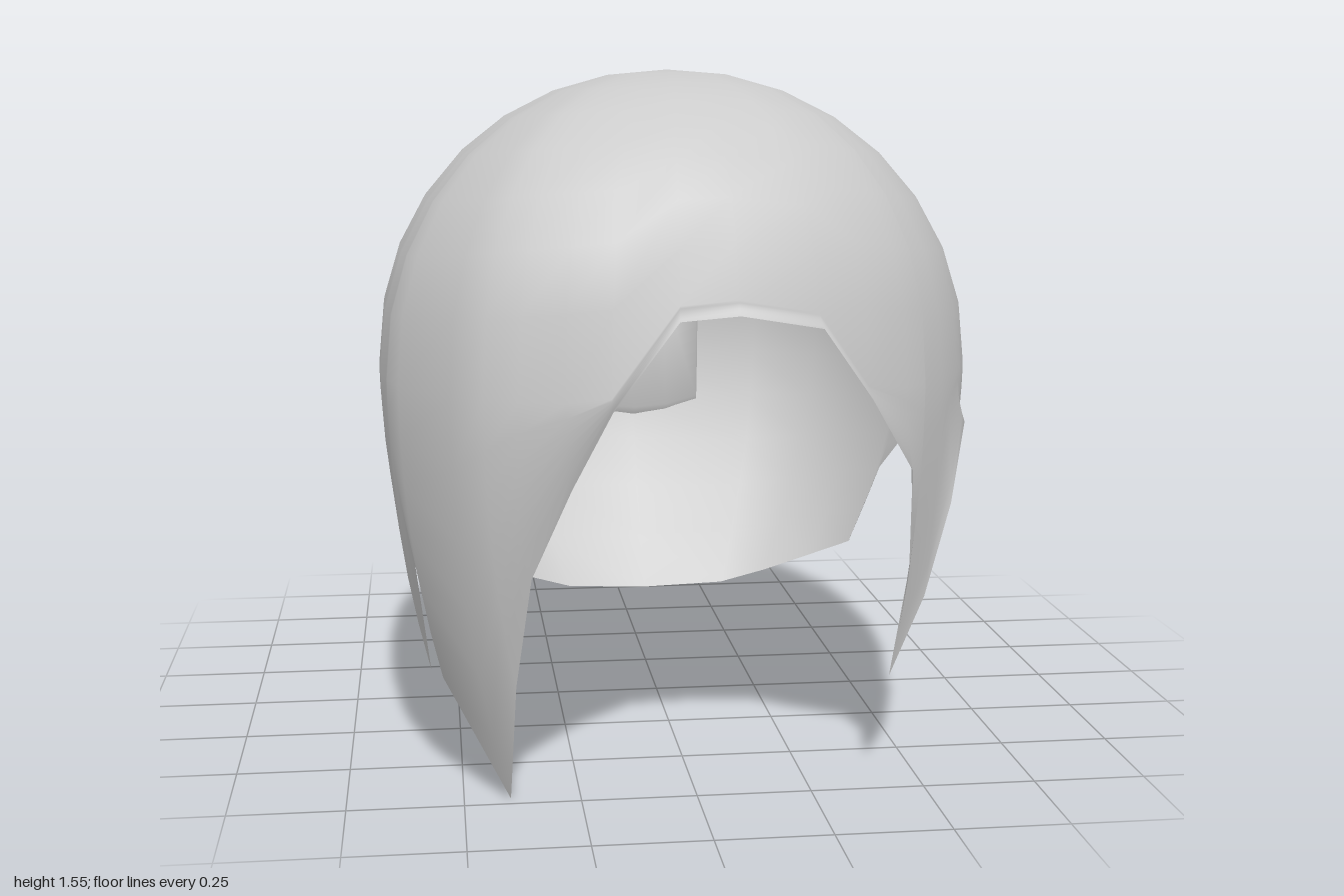
import * as THREE from 'three';

const CZ = 0.2, BELT = 0.9, TOP = 1.55;

// Lower edge of the hair, from the brow round to the nape: [x, y, z]
const leftFront = [
  [0.05, 1.07, 0.99], [0.22, 1.04, 0.97], [0.33, 0.89, 0.93], [0.43, 0.73, 0.87], [0.45, 0.5, 0.78],
  [0.42, 0.25, 0.74], [0.5, 0.42, 0.72], [0.56, 0.62, 0.7], [0.6, 0.79, 0.65], [0.59, 0.6, 0.58],
  [0.545, 0.41, 0.55], [0.59, 0.6, 0.52], [0.62, 0.73, 0.49], [0.61, 0.62, 0.4],
];
const rightFront = [
  [0.07, 1.06, 0.99], [0.2, 0.88, 0.97], [0.28, 0.72, 0.94], [0.36, 0.53, 0.9], [0.39, 0.28, 0.82],
  [0.4, 0, 0.72], [0.54, 0.25, 0.64], [0.6, 0.52, 0.585], [0.565, 0.24, 0.55], [0.6, 0.45, 0.47],
  [0.62, 0.66, 0.42],
];
const sideBack = [
  [0.59, 0.5, 0.26], [0.63, 0.64, 0.19], [0.63, 0.64, 0], [0.58, 0.55, -0.05], [0.5, 0.36, -0.04],
  [0.42, 0.3, -0.15], [0.31, 0.25, -0.2], [0.2, 0.21, -0.24],
];

function makeMesh(name, points, index, flat = false) {
  let geo = new THREE.BufferGeometry();
  geo.setAttribute('position', new THREE.Float32BufferAttribute(points.flat(), 3));
  geo.setIndex(index);
  if (flat) geo = geo.toNonIndexed();
  geo.computeVertexNormals();
  const mesh = new THREE.Mesh(geo, new THREE.MeshStandardMaterial({ color: 0xcccccc, side: THREE.DoubleSide }));
  mesh.name = name;
  return mesh;
}

// Distance from the axis to the widest outline in a given direction
function outline(sx, cz) {
  const n = cz < 0 ? 2.5 : sx < 0 ? 3.4 : 2.25;
  return (Math.abs(sx / 0.67) ** n + Math.abs(cz / 0.79) ** n) ** (-1 / n);
}

// Shell: one column per edge point, running up over the dome to the crown
function hairShell() {
  const mirror = ([x, y, z]) => [-x, y, z];
  const rim = [
    ...leftFront, ...sideBack, [0, 0.2, -0.25],
    ...[...rightFront, ...sideBack].reverse().map(mirror),
  ];
  const lower = 6, upper = 8, rows = lower + upper;
  const points = [], index = [];
  for (const [x, y, z] of rim) {
    const d = Math.hypot(x, z - CZ), sx = x / d, cz = (z - CZ) / d;
    const r = outline(sx, cz);
    const n = 2.05 + 0.6 * Math.max(0, cz) ** 4; // fuller above the brow
    const yb = Math.max(BELT, y + 0.03);
    const onDome = (h) => {
      const f = r * Math.max(0, 1 - ((h - BELT) / (TOP - BELT)) ** n) ** (1 / n);
      return [sx * f, h, CZ + cz * f];
    };
    const belt = onDome(yb);
    for (let j = 0; j < lower; j++) {
      const t = 1 - j / lower, s = t ** 2;
      points.push([
        THREE.MathUtils.lerp(belt[0], x, s),
        THREE.MathUtils.lerp(yb, y, t),
        THREE.MathUtils.lerp(belt[2], z, s),
      ]);
    }
    const start = Math.asin(((yb - BELT) / (TOP - BELT)) ** (n / 2));
    for (let j = 0; j < upper; j++) {
      const a = THREE.MathUtils.lerp(start, Math.PI / 2, j / upper);
      points.push(onDome(BELT + (TOP - BELT) * Math.sin(a) ** (2 / n)));
    }
  }
  const crown = points.push([0, TOP, CZ]) - 1;
  rim.forEach((_, i) => {
    const a = i * rows, b = ((i + 1) % rim.length) * rows;
    for (let j = 0; j < rows - 1; j++) index.push(a + j, b + j, b + j + 1, a + j, b + j + 1, a + j + 1);
    index.push(a + rows - 1, b + rows - 1, crown);
  });
  return makeMesh('hairShell', points, index);
}

// Bun: a tilted profile [z, y] swept across x, smaller at the sides and narrower toward the head
function hairBun() {
  const profile = [[-0.5, 0.96], [-0.58, 1], [-0.72, 1.05], [-0.87, 0.95], [-1, 0.84], [-0.89, 0.67], [-0.77, 0.52], [-0.58, 0.58], [-0.5, 0.64]];
  const stations = [[-0.22, 0.8], [-0.11, 0.95], [0, 1], [0.11, 0.95], [0.22, 0.8]];
  const n = profile.length, points = [], index = [];
  for (const [x, s] of stations)
    for (const [z, y] of profile) {
      const taper = THREE.MathUtils.mapLinear(Math.max(z, -0.74), -0.74, -0.5, 1, 0.76);
      points.push([x * taper, 0.79 + (y - 0.79) * s, z < -0.7 ? -0.7 + (z + 0.7) * s : z]);
    }
  for (let i = 0; i < stations.length - 1; i++)
    for (let j = 0; j < n; j++) {
      const a = i * n + j, b = i * n + ((j + 1) % n);
      index.push(a, a + n, b, b, a + n, b + n);
    }
  // side faces
  const last = (stations.length - 1) * n;
  const right = points.push([-0.215, 0.79, -0.72]) - 1, left = points.push([0.215, 0.79, -0.72]) - 1;
  for (let j = 0; j < n; j++) {
    const k = (j + 1) % n;
    index.push(right, j, k, left, last + k, last + j);
  }
  return makeMesh('hairBun', points, index);
}

// Loose ends: base pair, shoulder pair and tip
const spikes = [
  [[-0.16, 0.92, -0.52], [-0.04, 0.97, -0.52], [-0.19, 1.11, -0.63], [-0.06, 1.02, -0.6], [-0.22, 1.18, -0.92]],
  [[-0.05, 1.01, -0.53], [0.08, 0.98, -0.53], [-0.03, 1.07, -0.6], [0.1, 1.12, -0.67], [0, 1.25, -0.84]],
  [[0.12, 0.89, -0.52], [0.2, 0.93, -0.52], [0.17, 1.0, -0.59], [0.27, 1.06, -0.65], [0.28, 1.1, -0.87]],
  [[-0.15, 0.63, -0.52], [-0.07, 0.58, -0.52], [-0.19, 0.52, -0.64], [-0.1, 0.51, -0.6], [-0.19, 0.25, -0.7]],
  [[-0.05, 0.57, -0.52], [0.1, 0.61, -0.52], [0.08, 0.52, -0.6], [0.17, 0.52, -0.65], [0.2, 0.28, -0.75]],
];

export function createModel() {
  const group = new THREE.Group();
  group.name = 'hair';
  group.add(hairShell(), hairBun());
  for (const points of spikes) group.add(makeMesh('looseEnd', points, [0, 1, 3, 0, 3, 2, 2, 3, 4], true));
  return group;
}
